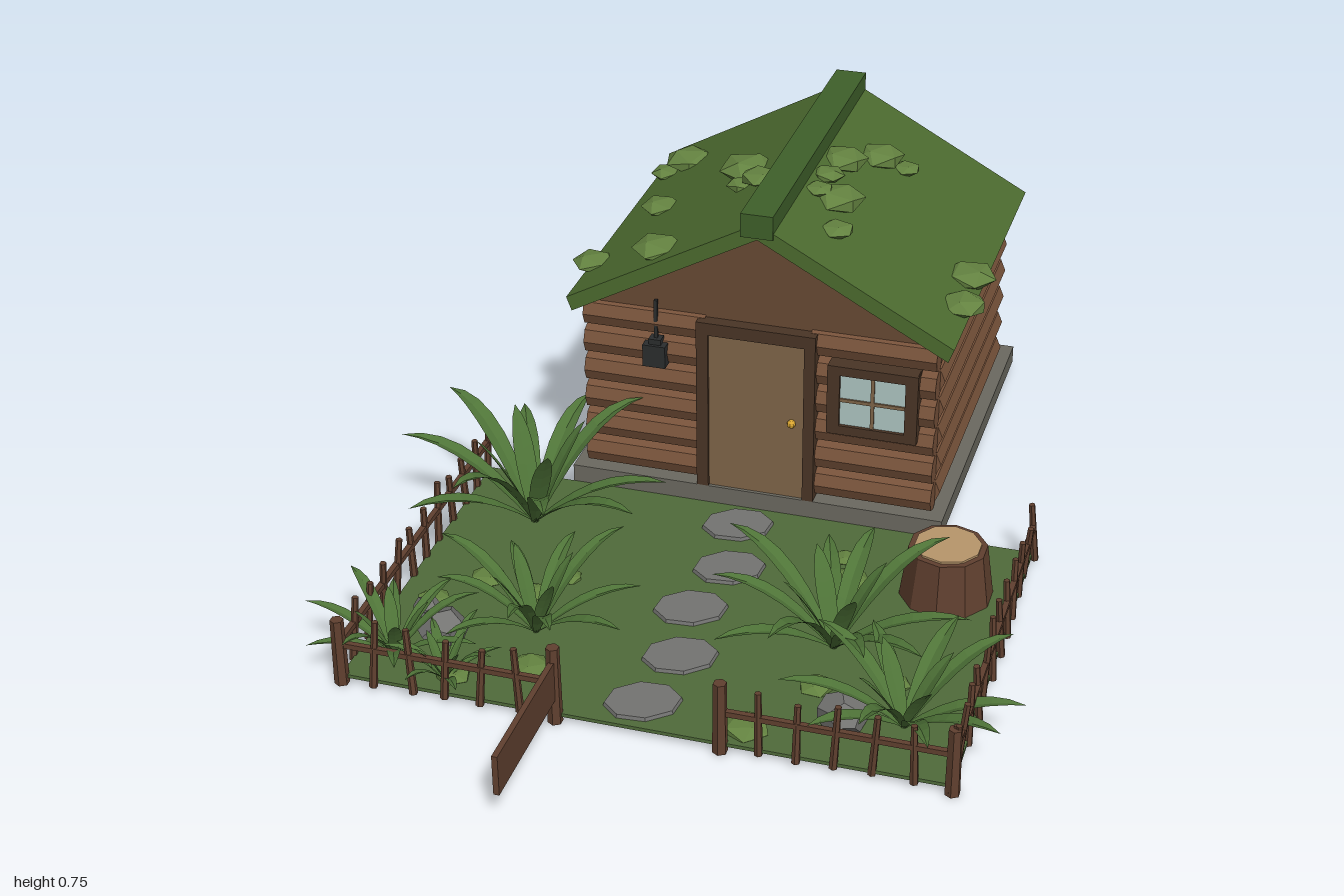
import * as THREE from 'three';

const mat = (color, side = THREE.FrontSide) => new THREE.MeshStandardMaterial({ color, flatShading: true, side });
const M = {
  log: mat(0x77523a), wall: mat(0x684a33), trim: mat(0x4a3526), door: mat(0x7f6549), roof: mat(0x4c6b2f),
  ridge: mat(0x3f602a), moss: mat(0x638240), grass: mat(0x506b3a), stone: mat(0x747472), base: mat(0x6b6960),
  iron: mat(0x2b2d2e), glass: mat(0xaec6c2), gold: mat(0xd9a531), fence: mat(0x60402f), cut: mat(0xb8966b),
  leaf: mat(0x4f7438, THREE.DoubleSide),
};
const CX = -0.005; // cabin centre line

function createRandom(seed) {
  return () => (seed = (seed * 16807) % 2147483647) / 2147483647;
}

export function createModel() {
  const root = new THREE.Group();
  const rand = createRandom(4711);
  const jitter = (a) => (rand() - 0.5) * 2 * a;

  const group = (name, parent = root) => {
    const g = new THREE.Group();
    g.name = name;
    parent.add(g);
    return g;
  };
  const add = (parent, name, geo, m, x = 0, y = 0, z = 0) => {
    const mesh = new THREE.Mesh(geo, m);
    mesh.name = name;
    mesh.position.set(x, y, z);
    parent.add(mesh);
    return mesh;
  };
  // Box given by its two corners
  const box = (parent, name, m, x0, x1, y0, y1, z0, z1) =>
    add(parent, name, new THREE.BoxGeometry(x1 - x0, y1 - y0, z1 - z0), m, (x0 + x1) / 2, (y0 + y1) / 2, (z0 + z1) / 2);
  // Prism from an outline in x, y, running from z0 to z1
  const prism = (parent, name, m, pts, z0, z1) =>
    add(parent, name, new THREE.ExtrudeGeometry(new THREE.Shape(pts.map((p) => new THREE.Vector2(...p))),
      { depth: z1 - z0, bevelEnabled: false }), m, 0, 0, z0);

  // Cabin body
  const cabin = group('cabin');
  box(cabin, 'foundation', M.base, CX - 0.43, CX + 0.43, 0.02, 0.063, -1, -0.16);
  box(cabin, 'innerWalls', M.wall, CX - 0.38, CX + 0.38, 0.06, 0.48, -0.92, -0.215);
  prism(cabin, 'gable', M.wall, [[CX - 0.385, 0.475], [CX + 0.385, 0.475], [CX, 0.692]], -0.945, -0.19);

  // Log walls: six courses on both sides and on the front beside the door
  const logs = group('logWalls', cabin);
  for (let i = 0; i < 6; i++) {
    const y = 0.1 + i * 0.0705;
    for (const s of [-1, 1]) {
      const side = add(logs, 'sideLog', new THREE.CylinderGeometry(0.038, 0.038, 0.7, 8), M.log, CX + s * 0.373, y, -0.57);
      side.rotation.x = Math.PI / 2;
      const front = add(logs, 'frontLog', new THREE.CylinderGeometry(0.037, 0.037, 0.28, 8), M.log, CX + s * 0.26, y, -0.207);
      front.rotation.z = Math.PI / 2;
    }
  }

  // Roof slopes and ridge cap
  const roof = group('roof', cabin);
  for (const s of [-1, 1]) {
    const pts = [[CX, 0.69], [CX + s * 0.425, 0.458], [CX + s * 0.437, 0.49], [CX, 0.728]];
    prism(roof, 'roofSlope', M.roof, pts, -0.99, -0.17);
  }
  box(roof, 'ridgeCap', M.ridge, CX - 0.036, CX + 0.036, 0.695, 0.75, -0.992, -0.166);

  // Flattened moss clump
  const clump = (parent, x, y, z, r, h) => {
    const m = add(parent, 'mossClump', new THREE.IcosahedronGeometry(1, 0), M.moss, x, y, z);
    m.scale.set(r, h, r);
    m.rotation.y = rand() * 6;
  };
  const roofMoss = group('roofMoss', roof);
  [[-0.36, -0.84, 0.065], [-0.41, -0.81, 0.04], [-0.34, -0.55, 0.05], [-0.14, -0.58, 0.07], [-0.085, -0.48, 0.048],
    [-0.13, -0.48, 0.035], [-0.43, -0.33, 0.052], [-0.25, -0.25, 0.062], [0.13, -0.73, 0.06], [0.19, -0.75, 0.035],
    [0.07, -0.62, 0.06], [0.06, -0.52, 0.04], [0.1, -0.45, 0.065], [0.06, -0.44, 0.035], [0.13, -0.33, 0.042],
    [0.4, -0.48, 0.062], [0.41, -0.35, 0.058],
  ].forEach(([x, z, r]) => clump(roofMoss, x, 0.733 - Math.abs(x - CX) * 0.545, z, r, r * 0.42));

  // Door with frame and knob
  const door = group('door', cabin);
  box(door, 'doorPanel', M.door, -0.115, 0.107, 0.063, 0.45, -0.21, -0.168);
  box(door, 'doorJambLeft', M.trim, 0.105, 0.13, 0.063, 0.478, -0.21, -0.16);
  box(door, 'doorJambRight', M.trim, -0.14, -0.113, 0.063, 0.478, -0.21, -0.16);
  box(door, 'doorLintel', M.trim, -0.14, 0.13, 0.448, 0.478, -0.21, -0.16);
  add(door, 'doorKnob', new THREE.SphereGeometry(0.01, 8, 6), M.gold, 0.078, 0.255, -0.162);

  // Window with frame and cross bars
  const win = group('window', cabin);
  box(win, 'windowGlass', M.glass, 0.18, 0.34, 0.262, 0.405, -0.2, -0.166);
  for (const x of [0.172, 0.346]) box(win, 'windowJamb', M.trim, x - 0.014, x + 0.014, 0.25, 0.417, -0.2, -0.158);
  for (const y of [0.26, 0.407]) box(win, 'windowRail', M.trim, 0.16, 0.358, y - 0.011, y + 0.011, -0.2, -0.158);
  box(win, 'uprightBar', M.door, 0.255, 0.263, 0.265, 0.4, -0.19, -0.162);
  box(win, 'crossBar', M.door, 0.18, 0.34, 0.329, 0.337, -0.19, -0.162);

  // Hanging lantern
  const lantern = group('lantern', cabin);
  box(lantern, 'lanternBody', M.iron, -0.262, -0.21, 0.352, 0.405, -0.195, -0.155);
  box(lantern, 'lanternCap', M.iron, -0.25, -0.222, 0.405, 0.418, -0.188, -0.162);
  box(lantern, 'lanternRod', M.iron, -0.24, -0.232, 0.41, 0.51, -0.18, -0.172);

  // Garden ground, stepping stones, rocks and moss
  const garden = group('garden');
  box(garden, 'lawn', M.grass, -0.64, 0.63, 0.013, 0.021, -0.16, 0.68);
  [[-0.02, -0.08], [0.01, 0.09], [-0.025, 0.26], [0.005, 0.43], [-0.02, 0.6]].forEach(([x, z], i) => {
    const s = add(garden, 'steppingStone', new THREE.CylinderGeometry(0.078, 0.084, 0.018, 8), M.stone, x, 0.02, z);
    s.scale.z = 0.78;
    s.rotation.y = 0.39 + (i % 2) * 0.03;
  });
  for (const [x, z, r] of [[-0.49, 0.5, 0.055], [-0.55, 0.44, 0.03], [0.38, 0.55, 0.055]]) {
    const rock = add(garden, 'rock', new THREE.DodecahedronGeometry(r, 0), M.stone, x, 0.045, z);
    rock.scale.y = 0.75;
    rock.rotation.y = x * 5;
  }
  [[0.24, -0.02, 0.03], [0.27, 0.07, 0.055], [-0.48, 0.27, 0.042], [-0.31, 0.22, 0.03], [0.2, 0.62, 0.052],
    [-0.36, 0.3, 0.04], [-0.56, 0.38, 0.04], [-0.28, 0.55, 0.045], [-0.42, 0.62, 0.04], [0.3, 0.45, 0.04], [0.45, 0.4, 0.035],
  ].forEach(([x, z, r]) => clump(garden, x, 0.023, z, r, r * 0.4));

  // Tree stump
  const stump = group('stump', garden);
  add(stump, 'stumpBark', new THREE.CylinderGeometry(0.085, 0.102, 0.125, 10), M.fence, 0.48, 0.077, 0.045);
  add(stump, 'stumpCut', new THREE.CylinderGeometry(0.072, 0.072, 0.01, 10), M.cut, 0.48, 0.139, 0.045);

  // Arched leaf, folded along its midrib, built from rows of three points
  const leafGeometry = (reach, height, width, droop) => {
    const pos = [], idx = [], rows = 7;
    for (let i = 0; i <= rows; i++) {
      const t = i / rows;
      const y = height * ((1 + droop) * t - droop * t * t);
      const w = width * (0.3 + 2.6 * t) * (1 - t) ** 0.9 * 0.62;
      for (const s of [-1, 0, 1]) pos.push(reach * t, y + Math.abs(s) * w * 0.35, s * w);
      if (i < rows) {
        for (const k of [0, 1]) {
          const a = i * 3 + k;
          idx.push(a, a + 1, a + 3, a + 1, a + 4, a + 3);
        }
      }
    }
    const g = new THREE.BufferGeometry();
    g.setAttribute('position', new THREE.Float32BufferAttribute(pos, 3));
    g.setIndex(idx);
    g.computeVertexNormals();
    return g;
  };
  // Plants: spreading outer leaves with a few steeper inner ones
  const plant = (x, z, reach, height, count, turn) => {
    const g = group('plant', garden);
    g.position.set(x, 0.02, z);
    for (let i = 0; i < count + 4; i++) {
      const inner = i >= count;
      const r = reach * (inner ? 0.4 : 0.92 + jitter(0.1));
      const h = height * (inner ? 0.95 : [0.55, 0.95, 0.75][i % 3]);
      const leaf = add(g, 'leaf', leafGeometry(r, h, reach * 0.14, inner ? 0.3 : 1.1), M.leaf);
      leaf.rotation.y = turn + (inner ? (i - count) * 1.57 + 0.5 : (i * Math.PI * 2) / count + jitter(0.12));
    }
  };
  plant(-0.46, 0.03, 0.31, 0.25, 10, 0.15);
  plant(-0.31, 0.43, 0.23, 0.18, 10, 0.3);
  plant(0.3, 0.31, 0.28, 0.2, 10, 0.1);
  plant(0.5, 0.53, 0.26, 0.16, 10, 0.2);
  plant(-0.56, 0.59, 0.19, 0.13, 10, 0);
  plant(-0.43, 0.64, 0.14, 0.1, 8, 0.5);

  // Fence runs: leaning pickets with one rail
  const fence = group('fence');
  const fenceRun = (x0, z0, x1, z1, count) => {
    const run = group('fenceRun', fence);
    const length = Math.hypot(x1 - x0, z1 - z0);
    const rail = add(run, 'fenceRail', new THREE.BoxGeometry(length, 0.012, 0.012), M.fence, (x0 + x1) / 2, 0.096, (z0 + z1) / 2);
    rail.rotation.y = Math.atan2(z0 - z1, x1 - x0);
    for (let i = 0; i <= count; i++) {
      const t = i / count, h = 0.13 + rand() * 0.025;
      const p = add(run, 'picket', new THREE.CylinderGeometry(0.007, 0.009, h, 6), M.fence,
        x0 + (x1 - x0) * t, 0.008 + h / 2, z0 + (z1 - z0) * t);
      p.rotation.set(jitter(0.1), 0, jitter(0.1));
    }
  };
  fenceRun(-0.64, -0.15, -0.64, 0.68, 11);
  fenceRun(0.63, -0.15, 0.63, 0.68, 11);
  fenceRun(-0.64, 0.68, -0.18, 0.68, 6);
  fenceRun(0.165, 0.68, 0.63, 0.68, 6);
  for (const [x, h] of [[-0.64, 0.155], [0.63, 0.155], [-0.178, 0.18], [0.165, 0.165]]) {
    add(fence, 'fencePost', new THREE.CylinderGeometry(0.014, 0.016, h, 6), M.fence, x, h / 2, 0.68);
  }

  // Gate board swung open towards the front
  box(fence, 'gateBoard', M.fence, -0.184, -0.172, 0.06, 0.15, 0.68, 1);
  return root;
}
